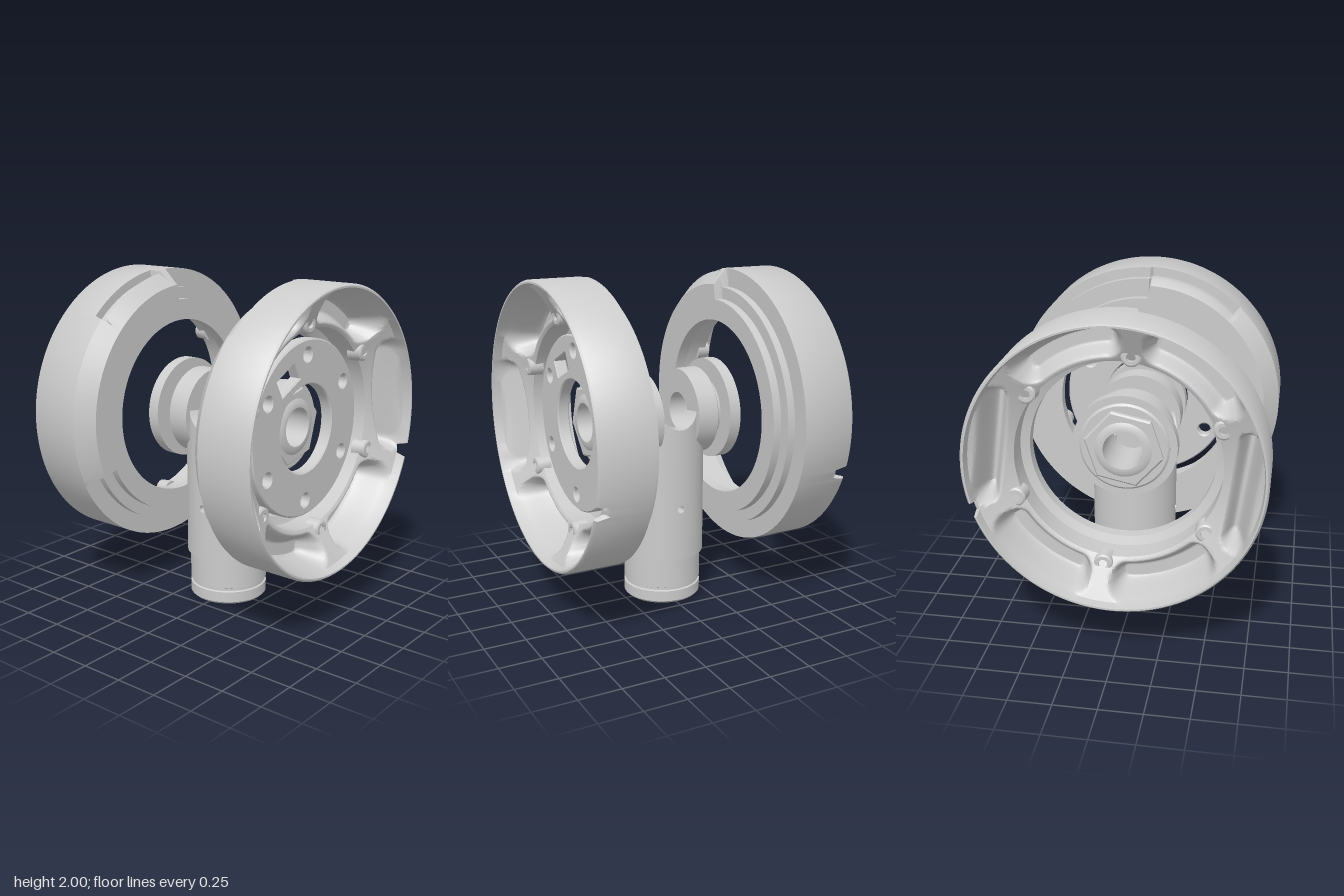
import * as THREE from 'three';
import { toCreasedNormals } from 'three/addons/utils/BufferGeometryUtils.js';

const AXLE_Y = 1.16;
const BORE = 0.115;
const DEG = Math.PI / 180;
const material = new THREE.MeshStandardMaterial({ color: 0xcccccc });

function part(name, geometry, parent, crease = 0.55) {
  const mesh = new THREE.Mesh(toCreasedNormals(geometry, crease), material);
  mesh.name = name;
  parent.add(mesh);
  return mesh;
}

function fromTriangles(positions) {
  const g = new THREE.BufferGeometry();
  g.setAttribute('position', new THREE.Float32BufferAttribute(positions, 3));
  return g;
}

const quad = (out, a, b, c, d) => out.push(...a, ...b, ...c, ...a, ...c, ...d);

// Turned part; the profile runs counter-clockwise as [radius, height]
const turned = (profile, segments = 64) =>
  new THREE.LatheGeometry([...profile, profile[0]].map(([r, y]) => new THREE.Vector2(r, y)), segments);
const turnedZ = (profile, segments) => turned(profile, segments).rotateX(Math.PI / 2);
const tube = (ri, ro, a, b) => [[ri, a], [ro, a], [ro, b], [ri, b]];

// Half-height of a round hole at offset x from its centre
const chord = (r, x) => Math.sqrt(Math.max(0, r * r - x * x));

// Hollow post with a U-shaped saddle and a small cross hole, built of wall columns
function postBody() {
  const R = 0.253, r = 0.175, N = 192, columns = [], out = [];
  for (let k = 0; k <= N; k++) {
    const t = (k / N) * Math.PI * 2;
    const a = t - 0.45 * Math.sin(2 * t); // closer columns around the cross hole
    const c = Math.cos(a), s = Math.sin(a), z = R * s;
    const top = Math.abs(z) < 0.12 ? 1.23 - chord(0.12, z) : 1.03;
    const gap = chord(0.022, z);
    columns.push({
      o: (y) => [R * c, y, z], i: (y) => [r * c, y, r * s],
      spans: [[0.3, 0.62 - gap], [0.62 + gap, top]],
    });
  }
  for (let k = 0; k < N; k++) {
    const A = columns[k], B = columns[k + 1];
    A.spans.forEach(([a0, a1], n) => {
      const [b0, b1] = B.spans[n];
      quad(out, A.o(a0), A.o(a1), B.o(b1), B.o(b0));
      quad(out, B.i(b0), B.i(b1), A.i(a1), A.i(a0));
      quad(out, A.o(a1), A.i(a1), B.i(b1), B.o(b1));
      quad(out, A.i(a0), A.o(a0), B.o(b0), B.i(b0));
    });
  }
  return fromTriangles(out);
}

// Depth of the dished wheel face: six rounded pockets, two of them straight
function faceDepth(r, angle) {
  const k = Math.round((angle / DEG - 7.5) / 60);
  const d = angle - (7.5 + 60 * k) * DEG;
  const straight = k % 3 === 0;
  const [u, v, hu, hv, round] = straight
    ? [r * Math.sin(d), r * Math.cos(d) - 0.7, 0.35, 0.07, 0.065]
    : [d * 0.715, r - 0.71, 0.315, 0.1, 0.09];
  const qx = Math.abs(u) - hu + round, qy = Math.abs(v) - hv + round;
  const sd = Math.hypot(Math.max(qx, 0), Math.max(qy, 0)) + Math.min(Math.max(qx, qy), 0) - round;
  const web = 0.61 + 0.6 * (r - 0.6);
  return web - (web - 0.52) * THREE.MathUtils.smoothstep(-sd, -0.01, 0.065);
}

// Wheel ring: stepped back, a chamfered full-width sector and a slot cut into that sector
function wheelRing(step1, step2, slot) {
  const N = 300, out = [], loops = [];
  const stepped = [[step1, 0.37], [step1, 0.42], [step2, 0.42], [step2, 0.465], [0.84, 0.465]];
  const chamfered = [[0.75, 0.37], [0.775, 0.395], [0.79, 0.41], [0.815, 0.435], [0.84, 0.46]];
  for (let k = 0; k <= N; k++) {
    const t = (k / N) * Math.PI * 2;
    const deg = t / DEG;
    const back = deg < 92 || deg > 205 ? stepped : deg > slot.from && deg < 134 ? slot.profile : chamfered;
    const rimZ = deg > 338.5 && deg < 343.5 ? 0.72 : 0.79; // small rim notch
    const profile = [[0.535, 0.37], ...back, [0.84, rimZ - 0.015], [0.828, rimZ], [0.818, rimZ]];
    for (let j = 0; j <= 30; j++) {
      const r = 0.81 - (j / 30) * 0.21;
      profile.push([r, faceDepth(r, t)]);
    }
    profile.push([0.585, 0.6], [0.585, 0.46], [0.535, 0.44], [0.535, 0.37]);
    loops.push(profile.map(([r, z]) => [r * Math.cos(t), r * Math.sin(t), z]));
  }
  for (let k = 0; k < N; k++)
    for (let j = 0; j < loops[k].length - 1; j++)
      quad(out, loops[k][j], loops[k + 1][j], loops[k + 1][j + 1], loops[k][j + 1]);
  return fromTriangles(out);
}

function wheel(name, step1, step2, slot) {
  const group = new THREE.Group();
  group.name = name;
  part('wheelRing', wheelRing(step1, step2, slot), group, 0.7);
  // Screw bosses on the webs between pockets
  for (let k = 0; k < 6; k++) {
    const a = (37.5 + 60 * k) * DEG;
    const boss = part('screwBoss', turnedZ([[0.025, 0.55], [0.06, 0.55], [0.055, 0.63], [0.045, 0.637], [0.025, 0.637]], 24), group);
    boss.position.set(0.625 * Math.cos(a), 0.625 * Math.sin(a), 0);
  }
  return group;
}

// Cheek, sleeve, flange and hexagonal nut on the axle; z is where the flange starts
function hub(name, z, flangeRadius) {
  const group = new THREE.Group();
  group.name = name;
  part('postCheek', turnedZ([[BORE, 0.115], [0.26, 0.115], [0.26, 0.243], [0.253, 0.25], [BORE, 0.25]]), group);
  part('sleeve', turnedZ(tube(BORE, 0.19, 0.24, z + 0.1)), group);
  part('flange', turnedZ(tube(0.15, flangeRadius, z, z + 0.07)), group);
  part('collar', turnedZ([[0.15, z + 0.06], [0.262, z + 0.06], [0.262, z + 0.075], [0.25, z + 0.085], [0.15, z + 0.085]]), group);
  const hex = new THREE.Shape();
  for (let k = 0; k < 6; k++) {
    const a = (k * 60 + 12) * DEG;
    hex[k ? 'lineTo' : 'moveTo'](0.235 * Math.cos(a), 0.235 * Math.sin(a));
  }
  hex.closePath();
  hex.holes.push(new THREE.Path().absarc(0, 0, 0.15, 0, Math.PI * 2, true));
  const nut = new THREE.ExtrudeGeometry(hex, { depth: 0.02, bevelThickness: 0.01, bevelSize: 0.01, bevelOffset: -0.01, bevelSegments: 1, curveSegments: 32 });
  part('hexNut', nut.translate(0, 0, z + 0.09), group);
  part('nutLip', turnedZ([[BORE, z + 0.09], [0.165, z + 0.09], [0.165, z + 0.12], [0.14, z + 0.135], [BORE, z + 0.135]]), group);
  return group;
}

// Annular plate with six bolt holes and one slanted window
function boltPlate() {
  const shape = new THREE.Shape().absarc(0, 0, 0.515, 0, Math.PI * 2, false);
  const hole = (x, y, r) => shape.holes.push(new THREE.Path().absarc(x, y, r, 0, Math.PI * 2, true));
  hole(0, 0, 0.262);
  for (let k = 0; k < 6; k++) hole(0.43 * Math.cos((30 + 60 * k) * DEG), 0.43 * Math.sin((30 + 60 * k) * DEG), 0.044);
  shape.holes.push(new THREE.Path([[-0.295, 0.32], [-0.12, 0.405], [-0.07, 0.305], [-0.24, 0.225]].map(([x, y]) => new THREE.Vector2(x, y))));
  return new THREE.ExtrudeGeometry(shape, { depth: 0.06, bevelThickness: 0.008, bevelSize: 0.008, bevelOffset: -0.004, bevelSegments: 1, curveSegments: 64 }).translate(0, 0, 0.5);
}

export function createModel() {
  const model = new THREE.Group();
  model.name = 'twinWheelCaster';

  // Post and stepped foot
  part('postBody', postBody(), model);
  part('postFoot', turned([
    [0.17, 0], [0.175, 0.015], [0.22, 0.015], [0.235, 0.03], [0.235, 0.095], [0.225, 0.1],
    [0.225, 0.115], [0.235, 0.12], [0.235, 0.31], [0.165, 0.31], [0.165, 0],
  ]), model);

  // Front and mirrored back running gear
  const front = new THREE.Group(), back = new THREE.Group();
  front.name = 'frontGear';
  back.name = 'backGear';
  const frontSlot = { from: 92, profile: [[0.75, 0.37], [0.785, 0.42], [0.785, 0.45], [0.785, 0.485], [0.84, 0.485]] };
  const backSlot = { from: 97, profile: [[0.75, 0.37], [0.825, 0.45], [0.79, 0.45], [0.79, 0.52], [0.84, 0.52]] };
  front.add(wheel('frontWheel', 0.67, 0.78, frontSlot), hub('frontHub', 0.37, 0.262));
  part('boltPlate', boltPlate(), front);
  back.add(wheel('backWheel', 0.66, 0.73, backSlot), hub('backHub', 0.3, 0.305));
  back.scale.z = -1;
  for (const gear of [front, back]) {
    gear.position.y = AXLE_Y;
    model.add(gear);
  }
  return model;
}
